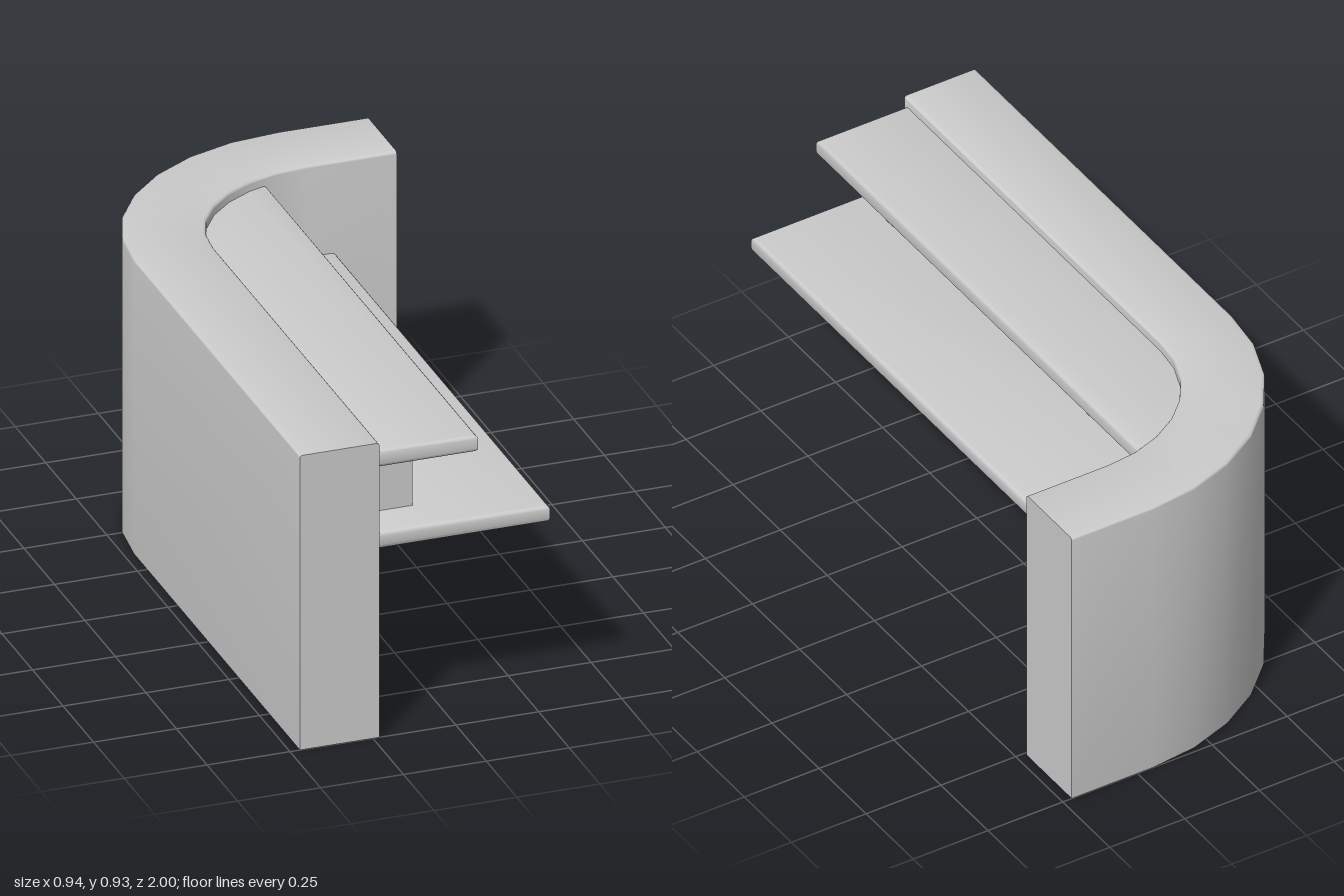
import * as THREE from 'three';
import { toCreasedNormals } from 'three/addons/utils/BufferGeometryUtils.js';

const material = new THREE.MeshStandardMaterial({ color: 0xcccccc });
const FRONT = 1, BACK = -1, HALF_WIDTH = 0.47, HEIGHT = 0.925, THICKNESS = 0.24;
const BEND = { x: 0.2, z: -0.36, steps: 7 };

// Point on the bend, inset from the outer face; angle 0 = side wall, PI/2 = back wall
function bendPoint(angle, inset) {
  const rx = BEND.x + HALF_WIDTH - inset, rz = BEND.z - BACK - inset;
  return new THREE.Vector2(BEND.x - rx * Math.cos(angle), BEND.z - rz * Math.sin(angle));
}

// Plan line of the wall at a given inset, from the front end round to the back end
function wallLine(inset) {
  const points = [new THREE.Vector2(-HALF_WIDTH + inset, FRONT)];
  for (let i = 0; i <= BEND.steps; i++) points.push(bendPoint((i / BEND.steps) * Math.PI / 2, inset));
  points.push(new THREE.Vector2(HALF_WIDTH, BACK + inset));
  return points;
}

// Curved wall: a rectangle with softened top edges swept along the plan line
function createWall() {
  const r = 0.009, profile = [[0, 0]];
  for (const a of [0, 30, 60, 90]) {
    const t = THREE.MathUtils.degToRad(a);
    profile.push([r - r * Math.cos(t), HEIGHT - r + r * Math.sin(t)]);
  }
  for (const [inset, y] of profile.slice().reverse()) profile.push([THICKNESS - inset, y]);
  const lines = profile.map(([inset]) => wallLine(inset));
  const rings = lines[0].length, n = profile.length, positions = [], indices = [];
  for (let i = 0; i < rings; i++) {
    for (let j = 0; j < n; j++) positions.push(lines[j][i].x, profile[j][1], lines[j][i].y);
  }
  for (let i = 0; i < rings - 1; i++) {
    for (let j = 0; j < n; j++) {
      const a = i * n + j, b = i * n + (j + 1) % n, c = a + n, d = b + n;
      indices.push(a, b, c, b, d, c);
    }
  }
  // Flat end caps
  const last = (rings - 1) * n;
  for (let j = 1; j < n - 1; j++) {
    indices.push(0, j + 1, j);
    indices.push(last, last + j, last + j + 1);
  }
  const geometry = new THREE.BufferGeometry();
  geometry.setAttribute('position', new THREE.Float32BufferAttribute(positions, 3));
  geometry.setIndex(indices);
  return toCreasedNormals(geometry, 0.7);
}

// Shelf whose back edge follows the inner face of the wall
function createShelf(right, bottom, top) {
  const bevel = 0.012, inset = THICKNESS - 0.015, front = 0.992;
  const rx = BEND.x + HALF_WIDTH - inset;
  const endAngle = right < BEND.x ? Math.acos((BEND.x - right) / rx) : Math.PI / 2;
  const outline = [new THREE.Vector2(right, front), new THREE.Vector2(-HALF_WIDTH + inset, front)];
  for (let i = 0; i <= BEND.steps; i++) outline.push(bendPoint((i / BEND.steps) * endAngle, inset));
  if (right > BEND.x) outline.push(new THREE.Vector2(right, BACK + inset));
  const geometry = new THREE.ExtrudeGeometry(new THREE.Shape(outline), {
    depth: top - bottom - 2 * bevel,
    bevelEnabled: true, bevelSize: bevel, bevelThickness: bevel, bevelOffset: -bevel, bevelSegments: 3,
  });
  geometry.rotateX(Math.PI / 2);
  geometry.translate(0, top - bevel, 0);
  return toCreasedNormals(geometry, 0.7);
}

export function createModel() {
  const group = new THREE.Group();
  const add = (name, geometry) => {
    const mesh = new THREE.Mesh(geometry, material);
    mesh.name = name;
    group.add(mesh);
    return mesh;
  };

  add('counterWall', createWall());
  add('desktop', createShelf(0.287, 0.587, 0.638));
  add('upperShelf', createShelf(0.07, 0.843, 0.895));

  // Brackets between the two shelves
  for (const [name, z] of [['frontBracket', 0.837], ['rearBracket', -0.228]]) {
    add(name, new THREE.BoxGeometry(0.16, 0.215, 0.037)).position.set(-0.158, 0.74, z);
  }
  return group;
}
